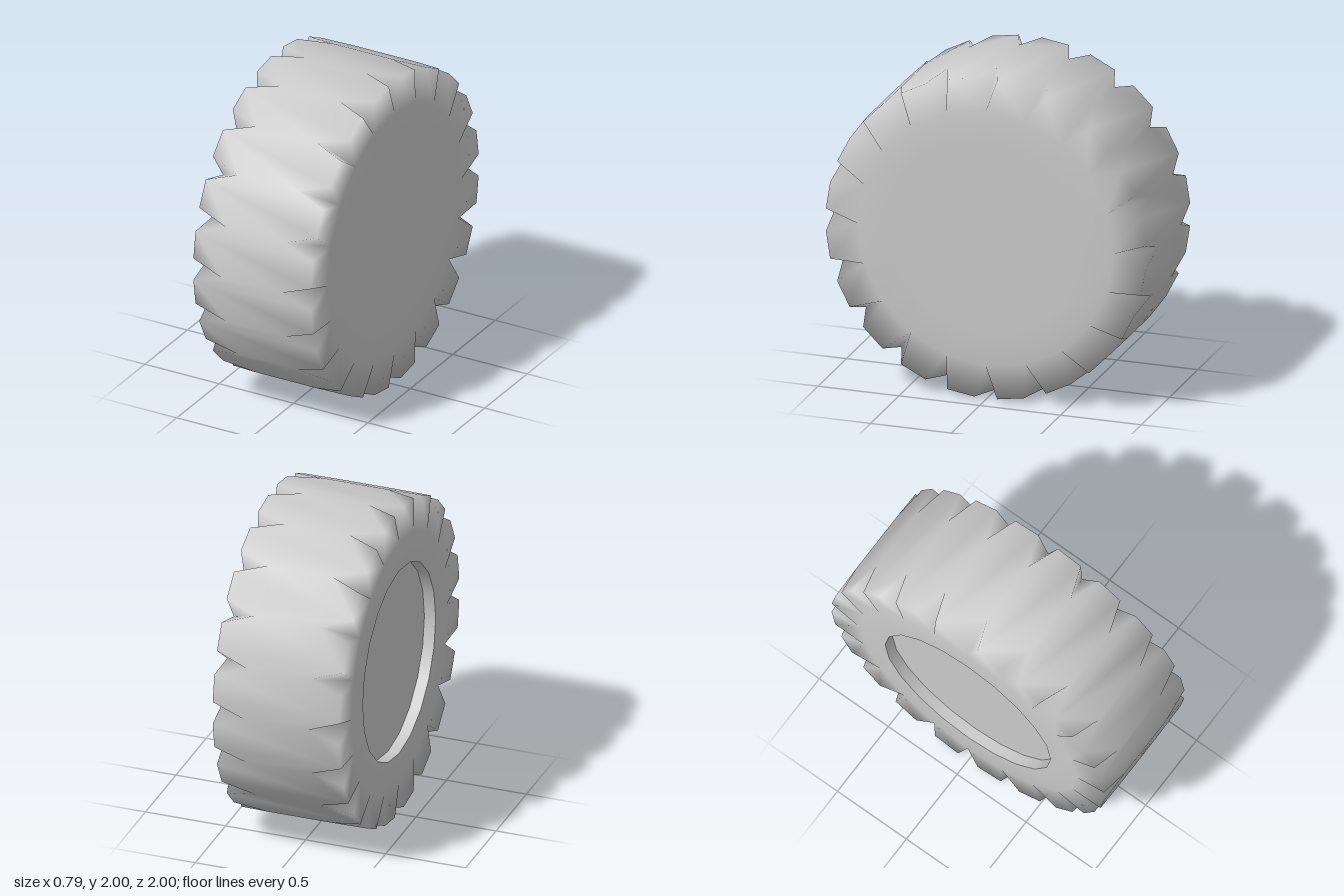
import * as THREE from 'three';

const SIDES = 20, STEP = (Math.PI * 2) / SIDES;
const HALF_WIDTH = 0.395, NOTCH_X = 0.2;      // sidewall and inner end of each notch
const WALL_R = 0.79, HUB_R = 0.6, HUB_DEPTH = 0.07;
const OPEN = THREE.MathUtils.degToRad(4.1);   // half the opening of a notch
const LIP_R = Math.cos(STEP / 2) / Math.cos(STEP / 2 - OPEN); // keeps lugs flat

const grey = new THREE.MeshStandardMaterial({ color: 0xcccccc });

// Tyre body: a 20-sided drum with a V notch cut into both shoulders at each corner
function tyreGeometry() {
  const pos = [], index = [];
  const point = (x, r, a) => pos.push(x, r * Math.cos(a), r * Math.sin(a));
  const fan = (corners) => {
    for (let k = 1; k < corners.length - 1; k++) index.push(corners[0], corners[k], corners[k + 1]);
  };

  // Per corner and side: notch apex, notch foot, two lips, hub rim
  for (let i = 0; i < SIDES; i++) {
    const a = i * STEP;
    for (const s of [1, -1]) {
      point(s * NOTCH_X, 1, a);
      point(s * HALF_WIDTH, WALL_R, a);
      point(s * HALF_WIDTH, LIP_R, a - OPEN);
      point(s * HALF_WIDTH, LIP_R, a + OPEN);
      point(s * HALF_WIDTH, HUB_R, a);
    }
  }
  const centre = pos.length / 3;
  point(HALF_WIDTH, 0, 0);

  const corner = (i, side) => {
    const b = ((i % SIDES) * 2 + side) * 5;
    return { apex: b, foot: b + 1, lipA: b + 2, lipB: b + 3, rim: b + 4 };
  };

  for (let i = 0; i < SIDES; i++) {
    const [p, q] = [corner(i, 0), corner(i + 1, 0)];
    const [m, n] = [corner(i, 1), corner(i + 1, 1)];
    // Lug top
    fan([m.lipB, n.lipA, n.apex, q.apex, q.lipA, p.lipB, p.apex, m.apex]);
    // Notch walls and lug ends on both sides, mirrored
    [[p, q], [m, n]].forEach(([c, d], side) => {
      const faces = [
        [c.apex, c.lipB, c.foot],
        [c.apex, c.foot, c.lipA],
        [c.foot, c.lipB, d.lipA, d.foot],
        [c.rim, c.foot, d.foot, d.rim],
      ];
      faces.forEach((f) => fan(side ? f.reverse() : f));
    });
    // Closed disc on the plain side
    fan([centre, p.rim, q.rim]);
  }

  const g = new THREE.BufferGeometry();
  g.setAttribute('position', new THREE.Float32BufferAttribute(pos, 3));
  g.setIndex(index);
  g.computeVertexNormals();
  return g;
}

export function createModel() {
  const wheel = new THREE.Group();
  wheel.name = 'wheel';
  wheel.position.y = 1;

  const tyre = new THREE.Mesh(tyreGeometry(), grey);
  tyre.name = 'tyre';

  // Shallow hub recess on the other side
  const recessMaterial = grey.clone();
  recessMaterial.side = THREE.DoubleSide;
  const recessWall = new THREE.Mesh(
    new THREE.CylinderGeometry(HUB_R, HUB_R, HUB_DEPTH, SIDES, 1, true), recessMaterial);
  recessWall.name = 'hubRecessWall';
  recessWall.rotation.z = Math.PI / 2;
  recessWall.position.x = -HALF_WIDTH + HUB_DEPTH / 2;

  const hubFace = new THREE.Mesh(new THREE.CircleGeometry(HUB_R, SIDES), grey);
  hubFace.name = 'hubFace';
  hubFace.rotation.y = -Math.PI / 2;
  hubFace.position.x = -HALF_WIDTH + HUB_DEPTH;

  wheel.add(tyre, recessWall, hubFace);
  const model = new THREE.Group();
  model.add(wheel);
  return model;
}
